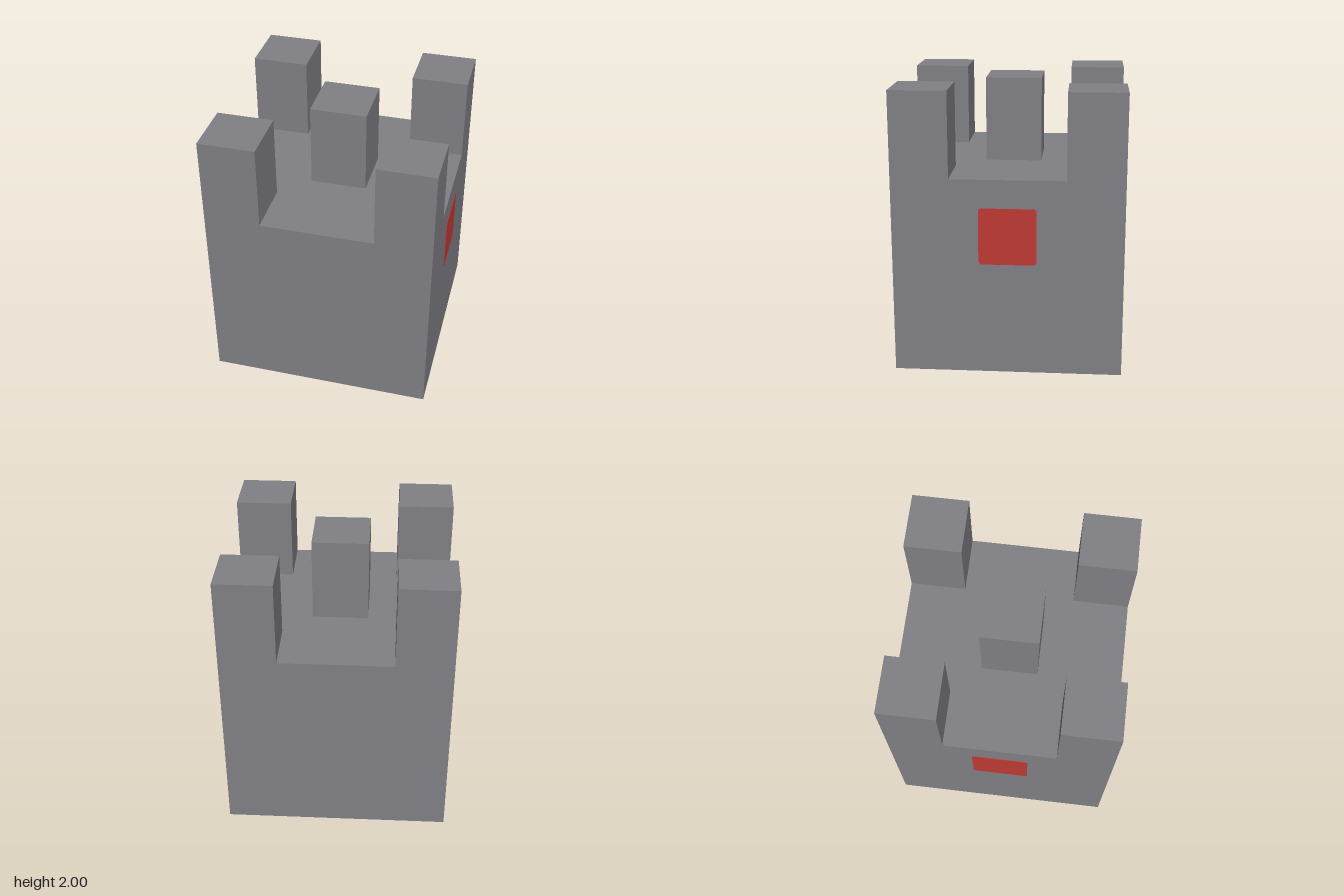
import * as THREE from 'three';

export function createModel() {
  const model = new THREE.Group();
  const stone = new THREE.MeshStandardMaterial({ name: 'grey stone', color: 0x808086 });
  const red = new THREE.MeshStandardMaterial({ name: 'red', color: 0xc03a34 });

  const add = (name, geometry, material, x, y, z) => {
    const mesh = new THREE.Mesh(geometry, material);
    mesh.name = name;
    mesh.position.set(x, y, z);
    model.add(mesh);
    return mesh;
  };

  // Solid keep
  add('keep', new THREE.BoxGeometry(1.6, 1.4, 1.6), stone, 0, 0.7, 0);

  // Four corner turrets and one in the middle
  const turret = new THREE.BoxGeometry(0.4, 0.6, 0.4);
  for (const x of [-0.6, 0.6])
    for (const z of [-0.6, 0.6]) add('cornerTurret', turret, stone, x, 1.7, z);
  add('centreTurret', turret, stone, 0, 1.7, 0);

  // Thin red panel with clipped corners on each flank
  const h = 0.2, c = 0.185;
  const outline = new THREE.Shape([
    [h, -c], [h, c], [c, h], [-c, h], [-h, c], [-h, -c], [-c, -h], [c, -h],
  ].map(([x, y]) => new THREE.Vector2(x, y)));
  const panel = new THREE.ExtrudeGeometry(outline, { depth: 0.004, bevelEnabled: false });
  for (const side of [-1, 1]) {
    add(side > 0 ? 'leftPanel' : 'rightPanel', panel, red, side * 0.8, 1, 0).rotation.y = side * Math.PI / 2;
  }

  return model;
}
